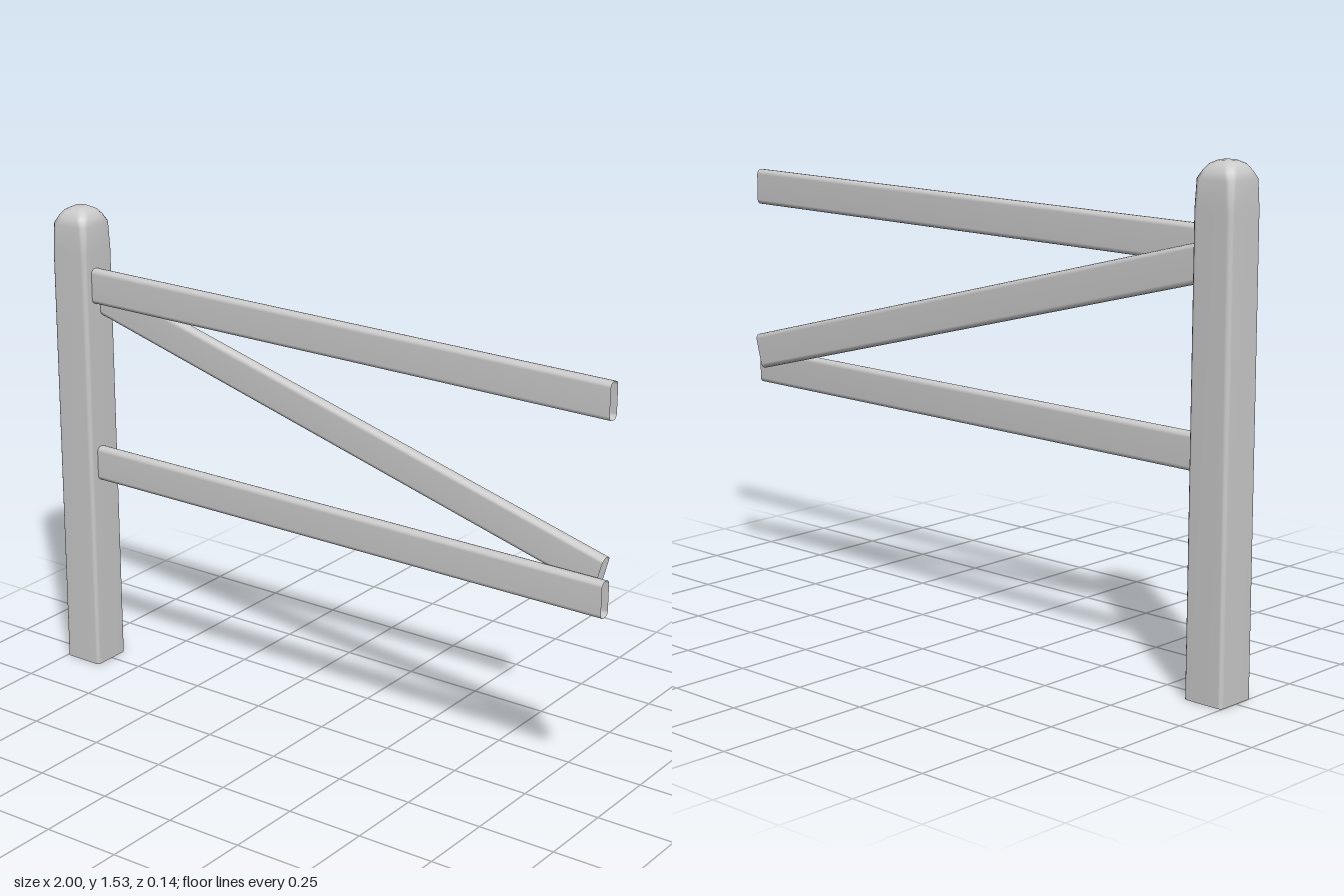
import * as THREE from 'three';

const material = new THREE.MeshStandardMaterial({ color: 0xcccccc, side: THREE.DoubleSide });

// Counter-clockwise outline of a rectangle with rounded corners
function roundedRect(w, h, r, steps = 3) {
  const points = [];
  [[1, 1], [-1, 1], [-1, -1], [1, -1]].forEach(([sx, sy], corner) => {
    for (let i = 0; i <= steps; i++) {
      const a = (corner + i / steps) * Math.PI / 2;
      points.push([sx * (w / 2 - r) + r * Math.cos(a), sy * (h / 2 - r) + r * Math.sin(a)]);
    }
  });
  return points;
}

// Skin between outlines stacked along z; each section is { z, points }
function loft(sections, closeTop = false) {
  const n = sections[0].points.length;
  const positions = [], index = [];
  for (const { z, points } of sections) for (const [x, y] of points) positions.push(x, y, z);
  for (let s = 0; s < sections.length - 1; s++) {
    for (let i = 0; i < n; i++) {
      const a = s * n + i, b = s * n + (i + 1) % n;
      index.push(a, b, b + n, a, b + n, a + n);
    }
  }
  if (closeTop) {
    const base = (sections.length - 1) * n;
    positions.push(0, 0, sections[sections.length - 1].z);
    for (let i = 0; i < n; i++) index.push(base + i, base + (i + 1) % n, base + n);
  }
  const geometry = new THREE.BufferGeometry();
  geometry.setAttribute('position', new THREE.Float32BufferAttribute(positions, 3));
  geometry.setIndex(index);
  geometry.computeVertexNormals();
  return geometry;
}

// Open-ended rounded bar running from one point to another in the xy plane
function bar(name, [x0, y0], [x1, y1], z) {
  const length = Math.hypot(x1 - x0, y1 - y0);
  const points = roundedRect(0.039, 0.113, 0.015);
  const geometry = loft([{ z: 0, points }, { z: length, points }]);
  geometry.rotateY(Math.PI / 2);
  const mesh = new THREE.Mesh(geometry, material);
  mesh.name = name;
  mesh.position.set(x0, y0, z);
  mesh.rotation.z = Math.atan2(y1 - y0, x1 - x0);
  return mesh;
}

export function createModel() {
  const model = new THREE.Group();
  model.name = 'fenceSection';

  // Square post with softened edges and a domed top, open underneath
  const profile = [[0, 0.135, 0.012], [1.4, 0.135, 0.016], [1.485, 0.132, 0.022],
    [1.508, 0.112, 0.026], [1.525, 0.088, 0.026], [1.535, 0.05, 0.02]];
  const geometry = loft(profile.map(([z, w, r]) => ({ z, points: roundedRect(w, w, r) })), true);
  geometry.rotateX(-Math.PI / 2);
  const post = new THREE.Mesh(geometry, material);
  post.name = 'post';
  post.position.x = -0.9325;
  model.add(post);

  // Two level rails, with the diagonal brace running behind them
  model.add(
    bar('upperRail', [-0.87, 1.293], [1, 1.293], 0.0165),
    bar('lowerRail', [-0.87, 0.701], [1, 0.701], 0.0165),
    bar('diagonalBrace', [-0.885, 1.254], [0.965, 0.757], -0.0205),
  );
  return model;
}
